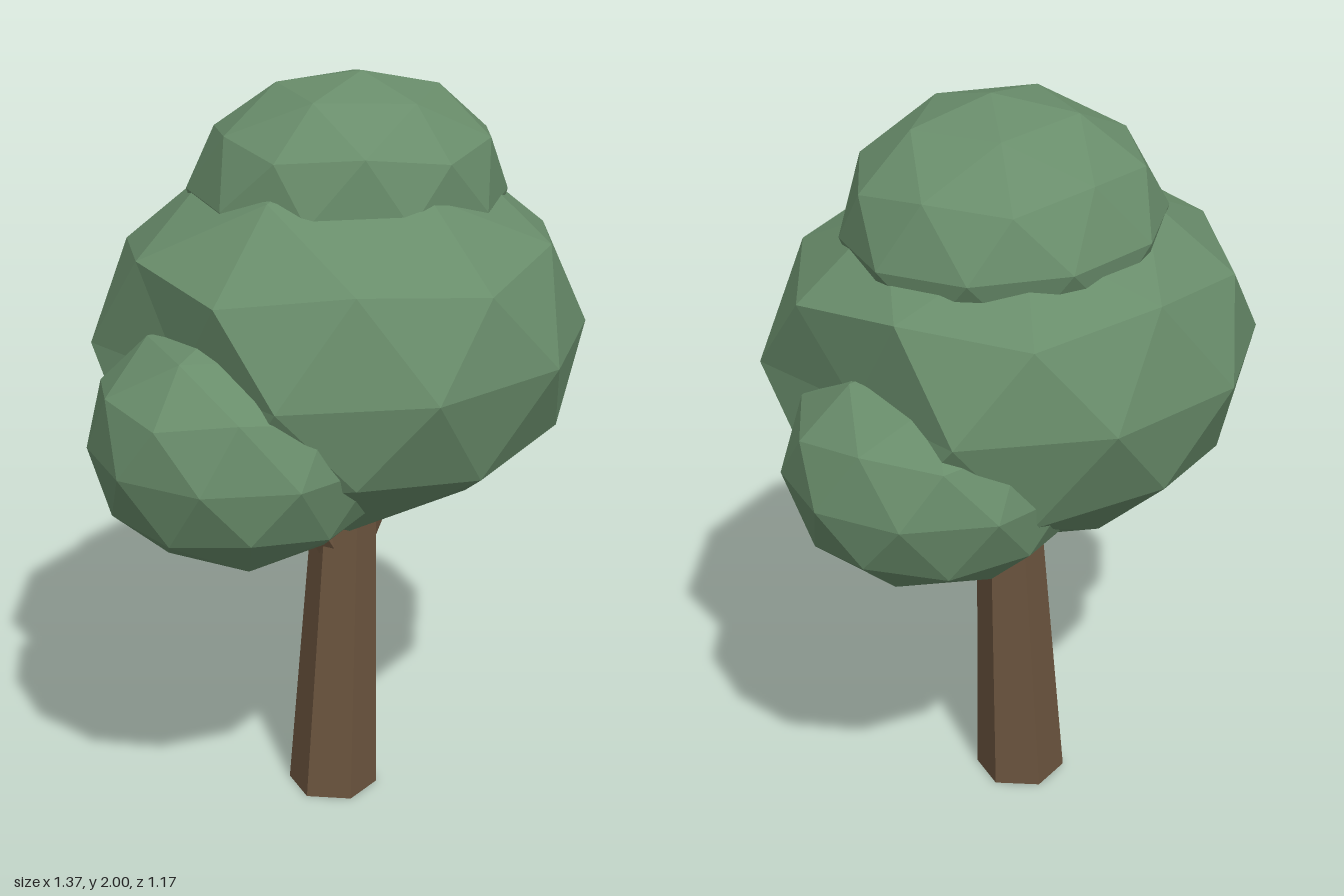
import * as THREE from 'three';

const foliage = new THREE.MeshStandardMaterial({ color: 0x698d6b, flatShading: true });
const bark = new THREE.MeshStandardMaterial({ color: 0x6b543e, flatShading: true });

// Faceted leaf clump: a subdivided icosahedron standing on a corner, squashed to size
function clump(name, centre, size, shape, tilt = 0) {
  const geometry = new THREE.IcosahedronGeometry(1, 1);
  geometry.rotateZ(-Math.atan(2 / (1 + Math.sqrt(5))));
  const p = geometry.attributes.position;
  const v = new THREE.Vector3();
  for (let i = 0; i < p.count; i++) {
    shape(v.fromBufferAttribute(p, i));
    p.setXYZ(i, v.x, v.y, v.z);
  }
  geometry.scale(...size);
  geometry.computeVertexNormals();
  const mesh = new THREE.Mesh(geometry, foliage);
  mesh.name = name;
  mesh.position.set(...centre);
  mesh.rotation.z = tilt;
  return mesh;
}

// Tapered limb between two points, with level ends
function limb(name, from, to, r0, r1, sides) {
  const a = new THREE.Vector3(...from), b = new THREE.Vector3(...to);
  const h = b.y - a.y;
  const geometry = new THREE.CylinderGeometry(r1, r0, h, sides);
  geometry.translate(0, h / 2, 0);
  const p = geometry.attributes.position;
  for (let i = 0; i < p.count; i++) {
    const t = p.getY(i) / h;
    p.setX(i, p.getX(i) + (b.x - a.x) * t);
    p.setZ(i, p.getZ(i) + (b.z - a.z) * t);
  }
  geometry.computeVertexNormals();
  const mesh = new THREE.Mesh(geometry, bark);
  mesh.name = name;
  mesh.position.copy(a);
  return mesh;
}

export function createModel() {
  const tree = new THREE.Group();
  tree.name = 'tree';

  // Trunk leans slightly; two branches reach into the side clumps
  tree.add(
    limb('trunk', [0, 0, 0.004], [0.045, 1.1, 0], 0.121, 0.073, 6),
    limb('leftBranch', [0.05, 0.66, 0], [0.28, 1.04, -0.08], 0.045, 0.034, 5),
    limb('rightBranch', [0, 0.7, 0.01], [-0.21, 1.04, 0.08], 0.045, 0.034, 5),
  );

  // Main crown is dented where the side clumps sit
  const dent = (v) => {
    if (Math.abs(v.x) > 0.9 && v.x * v.z < 0) v.multiplyScalar(0.8);
  };
  // Top clump bulges forward above its widest ring
  const bulge = (v) => {
    if (v.y > 0.1) v.z += 0.14 * v.y;
  };
  // Side clumps swell outward at the upper side facing away from the trunk
  const swell = (side) => (v) => {
    if (v.y > 0.4) v.x += 0.12 * side * v.y;
  };
  tree.add(
    clump('mainFoliage', [0.025, 1.32, 0], [0.65, 0.5, 0.583], dent),
    clump('topFoliage', [0.066, 1.685, -0.05], [0.418, 0.317, 0.376], bulge, -0.04),
    clump('leftFoliage', [0.31, 1.12, -0.155], [0.392, 0.31, 0.367], swell(0.5)),
    clump('rightFoliage', [-0.31, 1.13, 0.155], [0.396, 0.32, 0.367], swell(-1)),
  );
  return tree;
}
